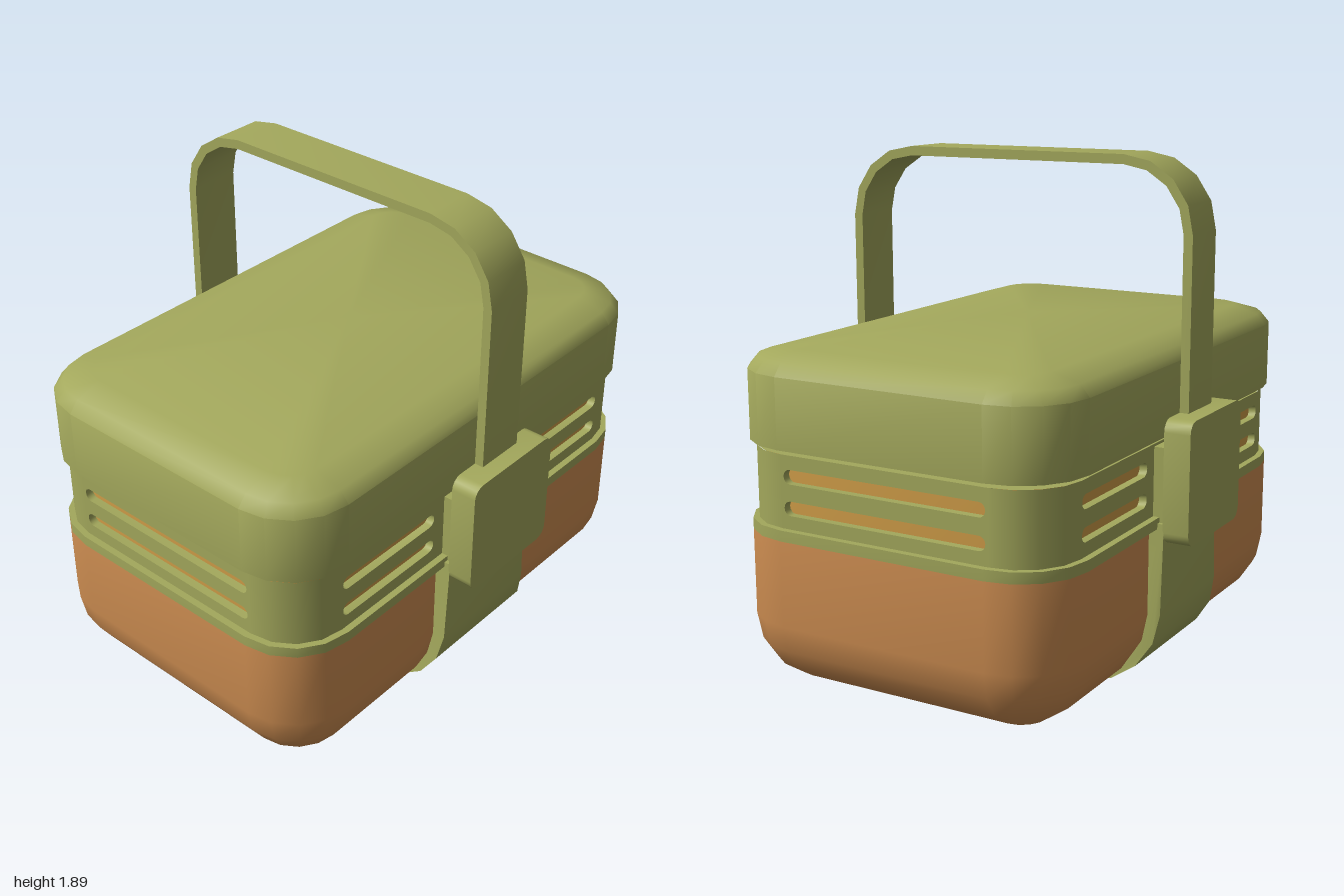
import * as THREE from 'three';
import { toCreasedNormals } from 'three/addons/utils/BufferGeometryUtils.js';

const CREASE = 0.7;
const STEPS = 4; // facets per rounded corner

// Points of a quarter arc starting at angle a0
function arc(cx, cy, r, a0, sweep = Math.PI / 2) {
  return Array.from({ length: STEPS + 1 }, (_, i) => {
    const a = a0 + (sweep * i) / STEPS;
    return new THREE.Vector2(cx + r * Math.cos(a), cy + r * Math.sin(a));
  });
}

// Counter-clockwise rounded rectangle
function roundedRect(hw, hh, r, cx = 0, cy = 0) {
  const corners = [[1, 1], [-1, 1], [-1, -1], [1, -1]];
  return corners.flatMap(([sx, sy], k) =>
    arc(cx + sx * (hw - r), cy + sy * (hh - r), r, (k * Math.PI) / 2));
}

// Stack of rounded rectangles; profile rows are [inset, y], going up the outside
function loft(hw, hd, r, profile, { bottom = null, top = null } = {}) {
  const pos = [];
  const rings = profile.map(([inset, y]) =>
    roundedRect(hw - inset, hd - inset, Math.max(r - inset, 0.01)).map(p => [p.x, y, p.y]));
  const n = rings[0].length;
  const tri = (...pts) => pts.forEach(p => pos.push(...p));
  for (let j = 0; j < n; j++) {
    const k = (j + 1) % n;
    for (let i = 0; i + 1 < rings.length; i++) {
      const a = rings[i], b = rings[i + 1];
      tri(a[j], b[j], a[k]);
      tri(a[k], b[j], b[k]);
    }
    const last = rings[rings.length - 1];
    if (bottom !== null) tri([0, bottom, 0], rings[0][j], rings[0][k]);
    if (top !== null) tri(last[j], [0, top, 0], last[k]);
  }
  const geo = new THREE.BufferGeometry();
  geo.setAttribute('position', new THREE.Float32BufferAttribute(pos, 3));
  return toCreasedNormals(geo, CREASE);
}

function extrude(points, depth, holes = []) {
  const shape = new THREE.Shape(points);
  holes.forEach(h => shape.holes.push(new THREE.Path(h)));
  return new THREE.ExtrudeGeometry(shape, { depth, bevelEnabled: false });
}

export function createModel() {
  const model = new THREE.Group();
  model.name = 'lunchBox';
  const material = (name, color) => {
    const m = new THREE.MeshStandardMaterial({ color });
    m.name = name;
    return m;
  };
  const green = material('olive green', 0xa3a85c);
  const orange = material('terracotta', 0xd08f52);
  const amber = material('amber', 0xd09d48);
  const add = (name, geo, mat, parent = model) => {
    const mesh = new THREE.Mesh(geo, mat);
    mesh.name = name;
    parent.add(mesh);
    return mesh;
  };

  // Lid with bevelled edge and shallow peaked top
  add('lid', loft(0.66, 1, 0.25,
    [[0.08, 0.925], [0, 0.925], [0, 1.18], [0.035, 1.222], [0.14, 1.252]], { top: 1.29 }), green);
  add('neck', loft(0.66, 1, 0.25, [[0.025, 0.905], [0.07, 0.905], [0.07, 0.93]]), green);
  add('rim', loft(0.66, 1, 0.25, [[0, 0.6], [0, 0.64]], { bottom: 0.6, top: 0.64 }), green);

  // Vent band: slotted walls, round corners, coloured liner behind the slots
  const band = new THREE.Group();
  band.name = 'ventBand';
  model.add(band);
  const slotRows = [0.715, 0.828];
  const wall = (hw, slotCentres, slotHalf, out) => {
    const outline = [[-hw, 0.635], [hw, 0.635], [hw, 0.905], [-hw, 0.905]].map(p => new THREE.Vector2(...p));
    const holes = slotRows.flatMap(y => slotCentres.map(x => roundedRect(slotHalf, 0.026, 0.0255, x, y)));
    return toCreasedNormals(extrude(outline, 0.03, holes).translate(0, 0, out - 0.03), CREASE);
  };
  const endWall = wall(0.415, [0], 0.405, 0.975);
  const sideWall = wall(0.755, [-0.507, 0.507], 0.2425, 0.635);
  for (let k = 0; k < 4; k++) {
    add(k % 2 ? 'sideWall' : 'endWall', k % 2 ? sideWall : endWall, green, band).rotation.y = (k * Math.PI) / 2;
    const corner = new THREE.CylinderGeometry(0.22, 0.22, 0.27, STEPS, 1, true, (k * Math.PI) / 2, Math.PI / 2);
    add('wallCorner', corner, green, band)
      .position.set(k < 2 ? 0.415 : -0.415, 0.77, k === 0 || k === 3 ? 0.755 : -0.755);
  }
  add('ventLiner', loft(0.605, 0.945, 0.19, [[0, 0.62], [0, 0.9]]), amber, band);

  // Two rounded bowls, front and back
  const bowlProfile = arc(0.25, 0.285, 0.25, -Math.PI / 2, -Math.PI / 2)
    .map(p => [Math.min(p.x, 0.24), 0.285 + (p.y - 0.285) * 1.02]);
  const bowl = loft(0.66, 0.45, 0.25, [...bowlProfile, [0, 0.6]], { bottom: 0.03 });
  for (const s of [1, -1]) add(s > 0 ? 'frontBowl' : 'backBowl', bowl, orange).position.z = s * 0.55;

  // Cradle wrapping under the middle, flaring toward the base
  const half = arc(0.405, 0.285, 0.28, -Math.PI / 2);
  const right = [...half, new THREE.Vector2(0.685, 0.62)];
  const left = right.map(p => new THREE.Vector2(-p.x, p.y)).reverse();
  const cradle = extrude([...right, ...left], 2).translate(0, 0, -1);
  const pos = cradle.attributes.position;
  for (let i = 0; i < pos.count; i++) {
    const t = 1 - Math.min(pos.getY(i) / 0.6, 1);
    pos.setZ(i, Math.sign(pos.getZ(i)) * (0.225 + 0.065 * t * t));
  }
  add('cradle', toCreasedNormals(cradle, CREASE), green);

  // Side clips with the brackets behind them
  const clip = toCreasedNormals(
    extrude(roundedRect(0.227, 0.2275, 0.045), 0.1).translate(0, 0.7725, 0.68), CREASE);
  for (const s of [1, -1]) {
    add(s > 0 ? 'leftClip' : 'rightClip', clip, green).rotation.y = (s * Math.PI) / 2;
    add(s > 0 ? 'leftBracket' : 'rightBracket', new THREE.BoxGeometry(0.08, 0.3, 0.42), green)
      .position.set(s * 0.642, 0.745, 0);
  }

  // Carrying handle: flat band bent into an arch
  const arch = (hw, top, r) => [
    new THREE.Vector2(hw, 0.96),
    ...arc(hw - r, top - r, r, 0),
    ...arc(-hw + r, top - r, r, Math.PI / 2),
    new THREE.Vector2(-hw, 0.96),
  ];
  const handle = extrude([...arch(0.715, 1.9, 0.27), ...arch(0.68, 1.865, 0.235).reverse()], 0.2);
  add('handle', toCreasedNormals(handle.translate(0, 0, -0.1), CREASE), green);

  return model;
}
